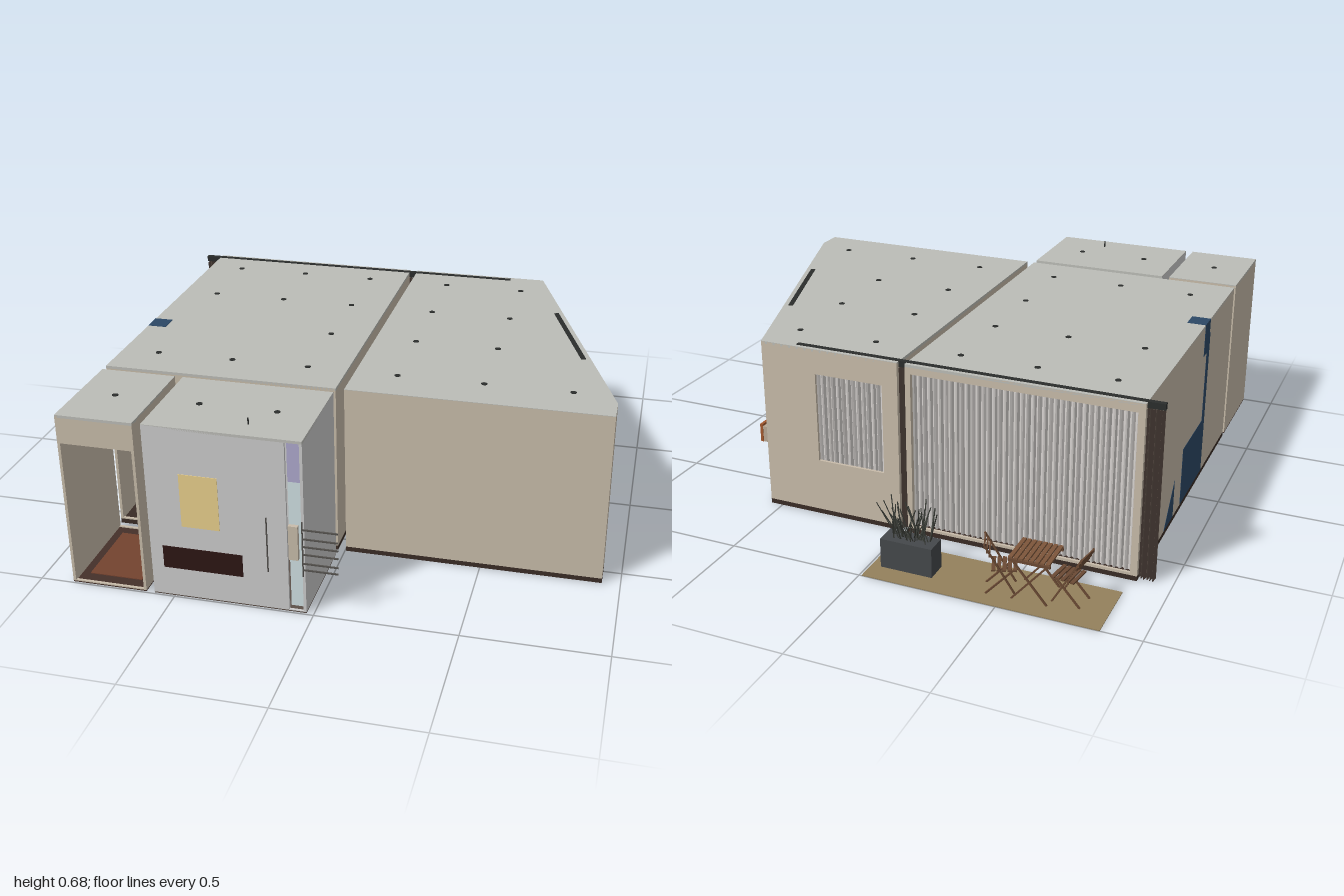
import * as THREE from 'three';

const H = 0.655, T = 0.01;
const mats = {};
const mat = (c) => (mats[c] ??= new THREE.MeshStandardMaterial({ color: c, side: THREE.DoubleSide, flatShading: true }));
const WALL = 0xc8bcaa, GREY = 0xc8c8c8, ROOF = 0xbcbdb7, DARK = 0x2b2d2c, FLOOR = 0x3a2c26,
  BLUE = 0x2c4866, ORANGE = 0xa3582e, WOOD = 0x6b4a34, BUNCH = 0x5c4e46, CLOTH = 0xd6d2cf;

function add(parent, name, geo, color) {
  const m = new THREE.Mesh(geo, mat(color));
  m.name = name;
  parent.add(m);
  return m;
}

// Box from its min and max corners
function box(parent, name, color, x0, x1, y0, y1, z0, z1) {
  const m = add(parent, name, new THREE.BoxGeometry(x1 - x0, y1 - y0, z1 - z0), color);
  m.position.set((x0 + x1) / 2, (y0 + y1) / 2, (z0 + z1) / 2);
  return m;
}

// Thin square bar between two points
function bar(parent, name, color, a, b, w = 0.006, d = w) {
  const p = new THREE.Vector3(...a), q = new THREE.Vector3(...b);
  const m = add(parent, name, new THREE.BoxGeometry(w, d, p.distanceTo(q)), color);
  m.position.copy(p).add(q).multiplyScalar(0.5);
  m.lookAt(q);
  return m;
}

// Horizontal plate over an [x, z] outline
function slab(parent, name, color, pts, y0, y1) {
  const s = new THREE.Shape(pts.map(([x, z]) => new THREE.Vector2(x, -z)));
  const g = new THREE.ExtrudeGeometry(s, { depth: y1 - y0, bevelEnabled: false });
  g.rotateX(-Math.PI / 2).translate(0, y0, 0);
  return add(parent, name, g, color);
}

// Upright wall from a to b, outer face on its local +z; holes are [u0, u1, y0, y1]
function wall(parent, color, a, b, y0, holes = []) {
  const dx = b[0] - a[0], dz = b[1] - a[1], len = Math.hypot(dx, dz);
  const rect = (P, u0, u1, v0, v1) => new P([[u0, v0], [u1, v0], [u1, v1], [u0, v1]].map((p) => new THREE.Vector2(...p)));
  const s = rect(THREE.Shape, 0, len, y0, H - 0.002);
  for (const h of holes) s.holes.push(rect(THREE.Path, ...h));
  const g = new THREE.ExtrudeGeometry(s, { depth: T, bevelEnabled: false }).translate(0, 0, -T);
  const m = add(parent, 'wall', g, color);
  m.position.set(a[0], 0, a[1]);
  m.rotation.y = Math.atan2(-dz, dx);
  return m;
}

// Room: outline runs counterclockwise seen from above, starting at the front left corner
function room(parent, name, pts, { color = WALL, floor = FLOOR, floorTop = 0.02, holes = {} }) {
  const r = new THREE.Group();
  r.name = name;
  parent.add(r);
  slab(r, 'floor', floor, pts, 0.002, floorTop);
  slab(r, 'ceiling', ROOF, pts, H - T, H);
  r.userData.walls = pts.map((p, i) => wall(r, color, p, pts[(i + 1) % pts.length], floorTop, holes[i]));
  return r;
}

// Pleated cloth along local x
function curtain(parent, name, color, x0, x1, y0, y1, z, pleat = 0.02, amp = 0.009) {
  const n = Math.max(4, Math.round((x1 - x0) / pleat) * 4);
  const g = new THREE.PlaneGeometry(x1 - x0, y1 - y0, n, 1);
  const p = g.attributes.position;
  for (let i = 0; i < p.count; i++) {
    const k = i % (n + 1);
    p.setZ(i, amp * Math.sin(k * Math.PI / 2 + 0.4) * (0.75 + 0.25 * Math.sin(k * 0.9)));
  }
  g.computeVertexNormals();
  const m = add(parent, name, g, color);
  m.position.set((x0 + x1) / 2, (y0 + y1) / 2, z);
  return m;
}

// Folding slatted chair facing local +x
function chair(parent, x, z, angle) {
  const c = new THREE.Group();
  c.name = 'foldingChair';
  for (const s of [-0.042, 0.042]) {
    bar(c, 'rearLeg', WOOD, [0.05, 0.003, s], [-0.055, 0.19, s]);
    bar(c, 'frontLeg', WOOD, [-0.05, 0.003, s * 0.85], [0.045, 0.095, s * 0.85]);
  }
  for (let i = 0; i < 5; i++) box(c, 'seatSlat', WOOD, -0.03 + i * 0.018, -0.017 + i * 0.018, 0.092, 0.098, -0.045, 0.045);
  for (let i = 0; i < 3; i++) bar(c, 'backSlat', WOOD, [-0.037 - i * 0.008, 0.15 + i * 0.016, -0.046], [-0.037 - i * 0.008, 0.15 + i * 0.016, 0.046], 0.005, 0.011);
  c.position.set(x, 0, z);
  c.rotation.y = angle;
  parent.add(c);
}

export function createModel() {
  const root = new THREE.Group();
  root.name = 'apartment';

  // Rooms
  room(root, 'livingRoom', [[-0.88, 0.58], [-0.025, 0.58], [-0.025, -0.67], [-0.88, -0.67]],
    { holes: { 0: [[0.01, 0.26, 0.025, 0.55]], 2: [[0.02, 0.83, 0.03, 0.62]] } });
  const bed = room(root, 'slantedRoom', [[0.005, 0.58], [0.935, 0.58], [0.935, 0.48], [0.545, -0.67], [0.005, -0.67]],
    { holes: { 2: [[0.464, 0.755, 0.22, 0.56]], 3: [[0.215, 0.48, 0.22, 0.56]] } });
  room(root, 'entrance', [[-0.88, 0.995], [-0.605, 0.995], [-0.605, 0.61], [-0.88, 0.61]],
    { floor: 0x45302a, floorTop: 0.006, holes: { 0: [[0.01, 0.265, 0.01, 0.55]], 2: [[0.015, 0.265, 0.01, 0.55]] } });
  room(root, 'bathroom', [[-0.575, 0.995], [-0.025, 0.995], [-0.025, 0.61], [-0.575, 0.61]],
    { color: GREY, floor: 0x5c5049, floorTop: 0.006, holes: { 0: [[0.49, 0.545, 0.008, 0.645]] } });
  box(root, 'doormat', 0x74432f, -0.84, -0.645, 0, 0.009, 0.66, 0.94);

  // Curtains and their rails
  const slant = bed.userData.walls[2];
  curtain(slant, 'sideCurtain', CLOTH, 0.4, 0.82, 0.03, 0.63, -0.027);
  box(slant, 'sideRail', DARK, 0.38, 0.834, H - 0.02, H + 0.002, -0.036, -0.018);
  box(root, 'backRail', DARK, -0.94, 0.41, H - 0.02, H + 0.002, -0.655, -0.636);
  curtain(root, 'wideCurtain', CLOTH, -0.865, -0.04, 0.025, 0.63, -0.645);
  curtain(root, 'bedroomCurtain', CLOTH, 0.02, 0.4, 0.025, 0.63, -0.645);
  curtain(root, 'gatheredCurtain', BUNCH, -0.938, -0.875, 0.004, 0.632, -0.645, 0.01, 0.016);
  curtain(root, 'gatheredCurtain', BUNCH, -0.035, 0.005, 0.004, 0.632, -0.645, 0.01, 0.016);

  // Ceiling spotlights
  const spots = [[-0.745, 0.805], [-0.44, 0.805], [-0.165, 0.805], [0.78, 0.425]];
  for (const z of [-0.52, -0.205, 0.105, 0.425])
    for (const x of [-0.74, -0.455, -0.17, 0.16, 0.47])
      if (!(z === 0.105 && x < -0.4)) spots.push([x, z]);
  for (const [x, z] of spots)
    add(root, 'spotlight', new THREE.CylinderGeometry(0.011, 0.011, 0.02, 16), DARK).position.set(x, H - 0.008, z);

  // Kitchen units reaching through the left wall
  box(root, 'tallCabinet', BLUE, -0.87, -0.73, 0, 0.55, 0.05, 0.24);
  box(root, 'cookerHood', BLUE, -0.881, -0.81, 0.53, H + 0.001, 0.11, 0.185);
  box(root, 'cabinetSide', BLUE, -0.881, -0.8, 0.022, 0.6, 0.155, 0.195);
  box(root, 'baseCabinet', BLUE, -0.881, -0.75, 0.022, 0.25, -0.12, 0.16);
  const wedge = new THREE.Shape([[-0.34, 0.022], [-0.22, 0.022], [-0.22, 0.17]].map((p) => new THREE.Vector2(-p[0], p[1])));
  const end = add(root, 'cabinetEnd', new THREE.ExtrudeGeometry(wedge, { depth: 0.03, bevelEnabled: false }), BLUE);
  end.rotation.y = Math.PI / 2;
  end.position.x = -0.881;
  box(root, 'sideboard', BLUE, 0.3, 0.9, 0, 0.2, 0.5, 0.57);

  // Rugs and round tables touching the floor's underside
  box(root, 'rug', 0x1d1d1e, 0.28, 0.64, 0, 0.022, -0.39, 0.02);
  box(root, 'rug', 0x1d1d1e, -0.3, -0.03, 0, 0.022, -0.5, -0.08);
  box(root, 'rug', 0x1d1d1e, -0.82, -0.6, 0, 0.022, -0.45, -0.16);
  add(root, 'tableFoot', new THREE.CylinderGeometry(0.06, 0.06, 0.024, 24), 0x46261d).position.set(-0.36, 0.012, -0.06);
  add(root, 'stoolFoot', new THREE.CylinderGeometry(0.035, 0.035, 0.024, 24), 0x56301f).position.set(0.44, 0.012, -0.54);

  // Bed standing through the slanted wall
  box(root, 'bedBase', BLUE, 0.45, 0.735, 0.01, 0.085, -0.35, -0.03);
  box(root, 'mattress', ORANGE, 0.45, 0.742, 0.08, 0.148, -0.36, 0.015);
  box(root, 'bedEdge', 0xb9a995, 0.742, 0.766, 0.08, 0.146, -0.36, 0.015);
  box(root, 'bedFront', ORANGE, 0.766, 0.778, 0.08, 0.155, -0.362, 0.02);

  // Bathroom front: mirror, basin, shower corner
  box(root, 'mirror', 0xe8cf8c, -0.455, -0.32, 0.285, 0.485, 0.985, 0.997);
  box(root, 'basinNiche', 0x2d1614, -0.53, -0.245, 0.115, 0.2, 0.985, 0.997);
  box(root, 'showerGlass', 0xcfdfe2, -0.085, -0.03, 0.01, 0.49, 0.965, 0.97);
  box(root, 'showerTop', 0xada8cd, -0.085, -0.03, 0.49, 0.645, 0.965, 0.97);
  box(root, 'showerShelf', WALL, -0.085, -0.052, 0.2, 0.33, 0.97, 0.985);
  bar(root, 'showerPipe', DARK, [-0.23, 0.6, 0.915], [-0.23, 0.68, 0.915], 0.004);

  // Towel radiator
  for (const [x, y0, y1] of [[-0.155, 0.15, 0.36], [-0.032, 0.15, 0.36]])
    bar(root, 'radiatorPost', 0x55524e, [x, y0, 0.998], [x, y1, 0.998], 0.004);
  for (const y of [0.175, 0.2, 0.235, 0.265, 0.295, 0.33])
    bar(root, 'radiatorRung', 0x55524e, [-0.032, y, 0.997], [0.09, y, 0.997], 0.005);

  // Terrace with table and chairs
  const terrace = new THREE.Group();
  terrace.name = 'terrace';
  root.add(terrace);
  box(terrace, 'decking', 0x94815c, -0.857, -0.01, 0, 0.003, -1, -0.755);
  for (let i = 0; i < 8; i++) box(terrace, 'tableSlat', 0x7d563b, -0.663 + i * 0.0185, -0.649 + i * 0.0185, 0.155, 0.162, -0.94, -0.805);
  for (const z of [-0.935, -0.81]) {
    box(terrace, 'tableRail', WOOD, -0.665, -0.518, 0.145, 0.155, z - 0.005, z + 0.005);
    bar(terrace, 'tableLeg', WOOD, [-0.655, 0.003, z], [-0.53, 0.15, z]);
    bar(terrace, 'tableLeg', WOOD, [-0.53, 0.003, z], [-0.655, 0.15, z]);
  }
  chair(terrace, -0.715, -0.865, -0.15);
  chair(terrace, -0.475, -0.89, Math.PI + 0.35);

  // Planter with grass blades
  box(terrace, 'planter', 0x45484b, -0.237, -0.045, 0.003, 0.112, -0.925, -0.845);
  let seed = 7;
  const rnd = () => (seed = (seed * 16807) % 2147483647) / 2147483647;
  for (let i = 0; i < 45; i++) {
    const x = -0.21 + rnd() * 0.14, z = -0.905 + rnd() * 0.04, a = rnd() * Math.PI * 2, r = 0.01 + rnd() * 0.065;
    const tip = [Math.min(-0.03, x + Math.cos(a) * r), 0.16 + rnd() * 0.09, z + Math.sin(a) * r];
    bar(terrace, 'grassBlade', 0x3b3e38, [x, 0.1, z], tip, 0.003);
  }
  return root;
}
